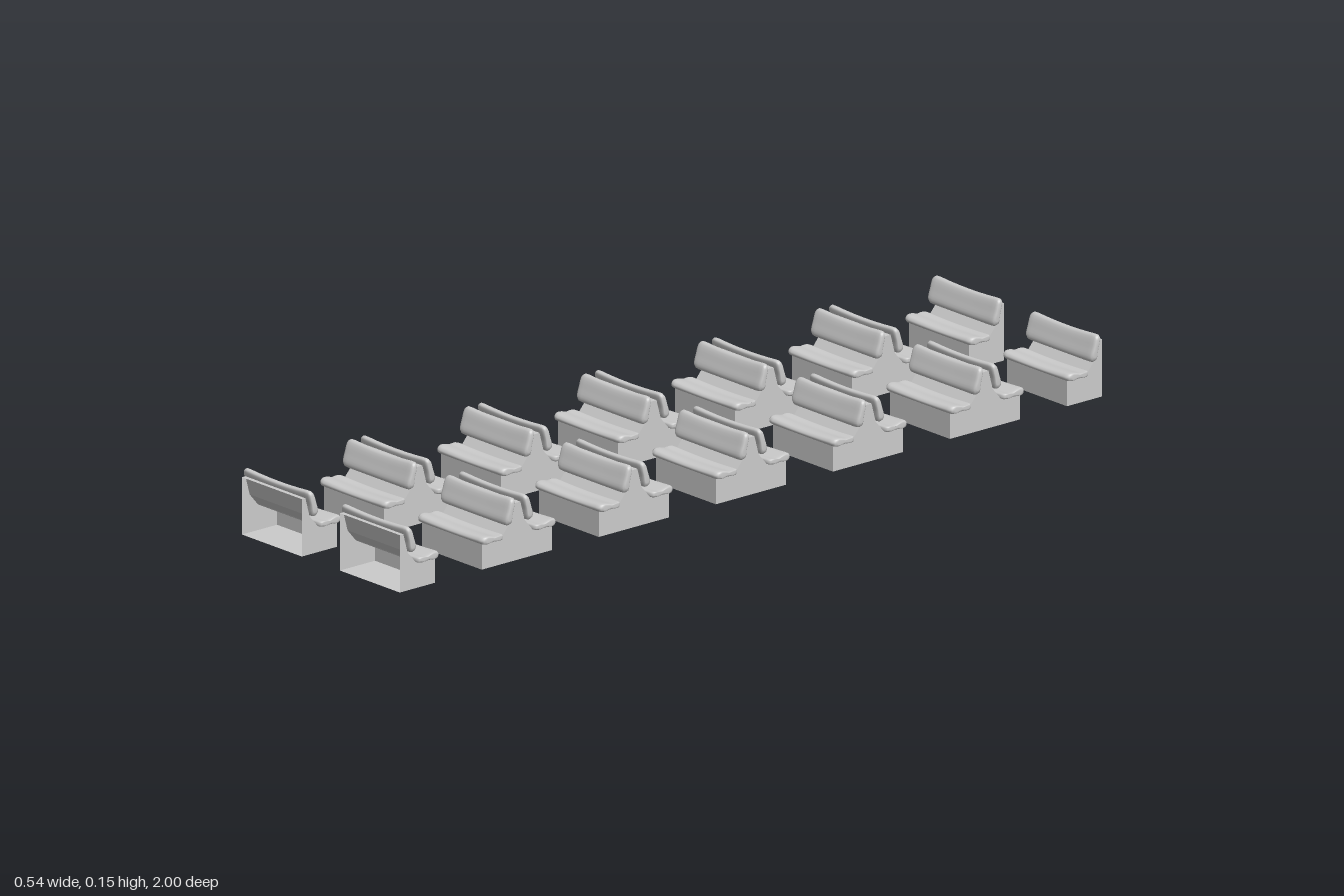
import * as THREE from 'three';

const material = new THREE.MeshStandardMaterial({ color: 0xcccccc });
const shellMaterial = new THREE.MeshStandardMaterial({ color: 0xcccccc, side: THREE.DoubleSide });

const BASE_HALF = 0.098;    // half width of the plinth
const CUSHION_HALF = 0.109; // half width of the cushions
const PITCH = 1 / 3;        // distance between bench rows

// Outline of one half bench as [z, y], from the floor up to the ridge
const OUTLINE = [[0, 0], [0.1, 0], [0.1, 0.058], [0.046, 0.058], [0.022, 0.086], [0.01, 0.13], [0, 0.13]];

// Hollow plinth: strip along the outline plus two side walls, open at the back
function plinthGeometry() {
  const pos = [];
  const quad = (a, b) => {
    const p = [[-BASE_HALF, a], [BASE_HALF, a], [BASE_HALF, b], [-BASE_HALF, b]];
    for (const i of [0, 1, 2, 0, 2, 3]) pos.push(p[i][0], p[i][1][1], p[i][1][0]);
  };
  for (let i = 0; i < OUTLINE.length - 1; i++) quad(OUTLINE[i], OUTLINE[i + 1]);
  const points = OUTLINE.map(([z, y]) => new THREE.Vector2(z, y));
  for (const side of [-1, 1]) {
    for (const face of THREE.ShapeUtils.triangulateShape(points, [])) {
      const order = side > 0 ? [face[2], face[1], face[0]] : face;
      for (const i of order) pos.push(side * BASE_HALF, points[i].y, points[i].x);
    }
  }
  const geo = new THREE.BufferGeometry();
  geo.setAttribute('position', new THREE.Float32BufferAttribute(pos, 3));
  geo.computeVertexNormals();
  return geo;
}

// Soft cushion: a rounded [z, y] section swept across x, shrinking at the ends;
// lift raises the top edge towards both ends
function cushionGeometry(section, lift) {
  const curve = new THREE.CatmullRomCurve3(
    section.map(([z, y]) => new THREE.Vector3(0, y, z)), true, 'centripetal');
  const ring = curve.getPoints(32).slice(0, -1);
  const n = ring.length;
  const box = new THREE.Box3().setFromPoints(ring);
  const mid = box.getCenter(new THREE.Vector3());
  const half = [[1, 0], [1, 0.6], [0.985, 0.84], [0.94, 0.97], [0.85, 1], [0.6, 1], [0.3, 1]];
  const stations = [
    ...half.map(([t, s]) => [-t, s]), [0, 1], ...half.slice().reverse()];
  const pos = [], index = [];
  stations.forEach(([t, s], i) => {
    ring.forEach((p, j) => {
      const high = (p.y - box.min.y) / (box.max.y - box.min.y);
      pos.push(t * CUSHION_HALF,
        mid.y + (p.y - mid.y) * s + lift * t * t * high,
        mid.z + (p.z - mid.z) * s);
      if (i === stations.length - 1) return;
      const a = i * n + j, b = i * n + (j + 1) % n;
      index.push(a, b, a + n, b, b + n, a + n);
    });
  });
  const geo = new THREE.BufferGeometry();
  geo.setAttribute('position', new THREE.Float32BufferAttribute(pos, 3));
  geo.setIndex(index);
  geo.computeVertexNormals();
  return geo;
}

export function createModel() {
  const parts = [
    ['plinth', plinthGeometry(), shellMaterial],
    // Seat with a thicker rolled front edge
    ['seatCushion', cushionGeometry([
      [0.044, 0.059], [0.045, 0.067], [0.065, 0.067], [0.088, 0.071],
      [0.102, 0.07], [0.107, 0.064], [0.102, 0.058], [0.075, 0.0585]], 0.004), material],
    // Backrest leaning towards the middle of the bench
    ['backCushion', cushionGeometry([
      [0.024, 0.087], [0.018, 0.11], [0.012, 0.131], [0.012, 0.139], [0.018, 0.142],
      [0.025, 0.138], [0.034, 0.115], [0.04, 0.095], [0.036, 0.087]], 0.005), material],
  ];

  const halfBench = (name) => {
    const g = new THREE.Group();
    g.name = name;
    for (const [part, geo, mat] of parts) {
      const mesh = new THREE.Mesh(geo, mat);
      mesh.name = part;
      g.add(mesh);
    }
    return g;
  };

  // Two columns of back-to-back benches, with single benches at both ends
  const model = new THREE.Group();
  model.name = 'benchRows';
  for (const x of [-0.16, 0.16]) {
    for (let k = -3; k <= 3; k++) {
      const bench = new THREE.Group();
      bench.name = Math.abs(k) === 3 ? 'endBench' : 'doubleBench';
      bench.position.set(x, 0, k * PITCH);
      if (k < 3) bench.add(halfBench('frontFacingSeat'));
      if (k > -3) {
        const rear = halfBench('rearFacingSeat');
        rear.rotation.y = Math.PI;
        bench.add(rear);
      }
      model.add(bench);
    }
  }
  return model;
}
